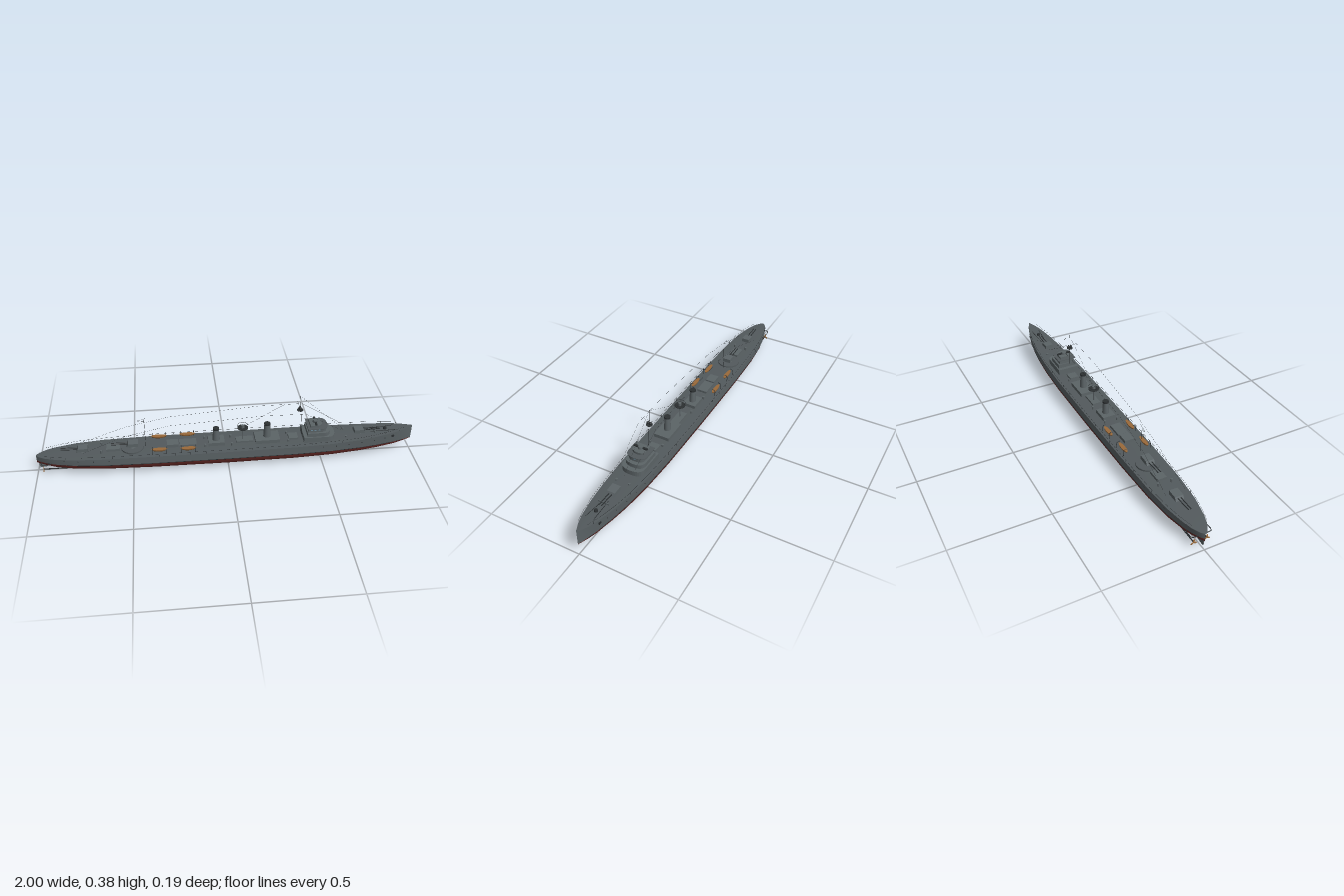
import * as THREE from 'three';

const mat = (color, side = THREE.FrontSide) => new THREE.MeshStandardMaterial({ color, side });
const grey = mat(0x5c6467), dark = mat(0x2c3032), deckGrey = mat(0x535a5d), red = mat(0x6b2c28);
const tan = mat(0x9a6a3a), glass = mat(0x6f8fa0);

// hull stations: x, half width at deck, half width at waterline, deck height, keel height
const stations = [
  [-1, 0.003, 0.002, 0.097, 0.052], [-0.985, 0.018, 0.014, 0.098, 0.046], [-0.95, 0.038, 0.032, 0.1, 0.038],
  [-0.9, 0.054, 0.05, 0.102, 0.029], [-0.8, 0.074, 0.071, 0.105, 0.018], [-0.65, 0.086, 0.085, 0.108, 0.01],
  [-0.4, 0.091, 0.091, 0.11, 0.004], [0, 0.092, 0.092, 0.111, 0], [0.35, 0.091, 0.09, 0.113, 0.003],
  [0.55, 0.085, 0.082, 0.116, 0.009], [0.7, 0.074, 0.068, 0.121, 0.018], [0.8, 0.061, 0.053, 0.128, 0.027],
  [0.9, 0.041, 0.033, 0.136, 0.04], [0.95, 0.025, 0.018, 0.14, 0.05], [1, 0.001, 0.001, 0.146, 0.064]];
const WATER = 0.067;

// values of the hull at any x, linear between stations
function hullAt(x) {
  let i = 0;
  while (i < stations.length - 2 && stations[i + 1][0] < x) i++;
  const a = stations[i], b = stations[i + 1], t = (x - a[0]) / (b[0] - a[0]);
  return a.map((v, k) => v + (b[k] - v) * t);
}

// skin over open cross-sections, each a list of [x, y, z]
function loft(sections) {
  const n = sections[0].length, index = [];
  for (let i = 0; i < sections.length - 1; i++)
    for (let j = 0; j < n - 1; j++) {
      const a = i * n + j, b = a + n;
      index.push(a, a + 1, b + 1, a, b + 1, b);
    }
  const g = new THREE.BufferGeometry();
  g.setAttribute('position', new THREE.Float32BufferAttribute(sections.flat(2), 3));
  g.setIndex(index);
  g.computeVertexNormals();
  return g;
}

export function createModel() {
  const ship = new THREE.Group();
  ship.name = 'warship';
  function add(name, geo, material, x = 0, y = 0, z = 0, parent = ship) {
    const m = new THREE.Mesh(geo, material);
    m.name = name;
    m.position.set(x, y, z);
    parent.add(m);
    return m;
  }
  const box = (name, w, h, d, x, y, z = 0, material = grey, parent = ship) =>
    add(name, new THREE.BoxGeometry(w, h, d), material, x, y + h / 2, z, parent);
  const cyl = (name, r1, r2, h, x, y, z = 0, material = grey, parent = ship) =>
    add(name, new THREE.CylinderGeometry(r1, r2, h, 20), material, x, y + h / 2, z, parent);
  function rod(name, pts, r, material = dark, parent = ship) {
    const path = new THREE.CurvePath(), v = pts.map(p => new THREE.Vector3(...p));
    for (let i = 0; i < v.length - 1; i++) path.add(new THREE.LineCurve3(v[i], v[i + 1]));
    return add(name, new THREE.TubeGeometry(path, (v.length - 1) * 2, r, 5), material, 0, 0, 0, parent);
  }
  // outline with a rounded front, extruded upwards
  function roundedHouse(name, x0, x1, half, y, h, material = grey) {
    const s = new THREE.Shape(), r = half * 0.7;
    s.moveTo(x0, -half);
    s.lineTo(x1 - r, -half);
    s.quadraticCurveTo(x1, -half, x1, 0);
    s.quadraticCurveTo(x1, half, x1 - r, half);
    s.lineTo(x0, half);
    const g = new THREE.ExtrudeGeometry(s, { depth: h, bevelEnabled: false, curveSegments: 8 });
    g.rotateX(-Math.PI / 2);
    return add(name, g, material, 0, y, 0);
  }

  // hull: red bottom, grey sides and slightly cambered deck
  const rib = [[1, 1], [0.95, 0.7], [0.8, 0.42], [0.4, 0.1], [0, 0]];
  const full = rib.concat(rib.slice(0, -1).reverse().map(([w, d]) => [-w, d]));
  add('hullBottom', loft(stations.map(([x, , w, , k]) =>
    full.map(([u, d]) => [x, k + (WATER - k) * d, u * w]))), red);
  for (const s of [1, -1]) {
    add('hullSide', loft(stations.map(([x, w, wl, y]) => {
      const p = [[x, y, s * w], [x, WATER, s * wl]];
      return s > 0 ? p : p.reverse();
    })), grey);
  }
  add('deck', loft(stations.map(([x, w, , y]) =>
    [[x, y, -w], [x, y + w * 0.04, 0], [x, y, w]])), deckGrey);

  // waterline strake, guard rails, portholes and anchors
  for (const s of [1, -1]) {
    const run = (f) => stations.slice(2, -1).map(f);
    rod('waterlineStrake', run(([x, , w]) => [x, WATER, s * w]), 0.0018);
    rod('rail', run(([x, w, , y]) => [x, y + 0.014, s * w * 0.98]), 0.0005);
    for (let x = -0.92; x < 0.92; x += 0.08) {
      const [, w, , y] = hullAt(x);
      rod('railPost', [[x, y, s * w * 0.98], [x, y + 0.014, s * w * 0.98]], 0.0005);
    }
    for (const x of [-0.85, -0.78, -0.7, -0.62, 0.5, 0.57, 0.64, 0.71, 0.78, 0.84]) {
      const [, w, wl, y] = hullAt(x);
      add('porthole', new THREE.SphereGeometry(0.003, 8, 6), dark, x, (WATER + y) / 2 + 0.008, s * (w * 0.65 + wl * 0.35));
    }
    box('anchor', 0.014, 0.012, 0.006, 0.885, 0.108, s * 0.042, dark);
    rod('anchorChain', [[0.77, 0.128, s * 0.012], [0.9, 0.139, s * 0.022]], 0.0015);
    // propeller, shaft and stern guard
    rod('propellerShaft', [[-0.8, 0.026, s * 0.03], [-0.965, 0.03, s * 0.034]], 0.003);
    for (let k = 0; k < 3; k++) {
      const blade = add('propellerBlade', new THREE.SphereGeometry(0.009, 8, 6), tan, -0.965,
        0.03 + 0.009 * Math.cos(k * 2.094), s * 0.034 + 0.009 * Math.sin(k * 2.094));
      blade.scale.set(0.25, 1, 0.6);
      blade.rotation.x = k * 2.094;
    }
    rod('sternGuard', [[-0.92, 0.07, s * 0.045], [-0.93, 0.07, s * 0.053], [-0.97, 0.07, s * 0.053], [-0.975, 0.07, s * 0.02]], 0.002);
  }
  box('rudder', 0.04, 0.038, 0.005, -0.97, 0.021).rotation.z = 0.12;

  // deck gun with sloped shield and two barrels
  function gun(name, x, y, dir) {
    const g = new THREE.Group();
    g.name = name;
    g.position.set(x, y, 0);
    g.rotation.y = dir > 0 ? 0 : Math.PI;
    ship.add(g);
    cyl('gunPedestal', 0.014, 0.02, 0.012, 0, 0, 0, grey, g);
    const shield = new THREE.Shape([[-0.03, 0], [0.03, 0], [0.02, 0.019], [-0.03, 0.021]].map(p => new THREE.Vector2(...p)));
    const geo = new THREE.ExtrudeGeometry(shield, { depth: 0.044, bevelEnabled: false });
    add('gunShield', geo, grey, 0, 0.008, -0.022, g);
    for (const z of [-0.008, 0.008]) rod('gunBarrel', [[0.02, 0.018, z], [0.11, 0.021, z * 0.8]], 0.0025, dark, g);
  }
  gun('foreGun', 0.71, 0.12, 1);
  gun('aftGun', -0.76, 0.106, -1);
  cyl('aftPlatform', 0.06, 0.06, 0.01, -0.5, 0.109, 0, deckGrey);
  gun('midshipGun', -0.5, 0.119, -1);

  // deckhouses
  for (const [x, w, h, d] of [[-0.6, 0.07, 0.014, 0.05], [-0.29, 0.06, 0.02, 0.05], [-0.21, 0.09, 0.016, 0.055],
    [-0.06, 0.085, 0.022, 0.07], [0.09, 0.09, 0.014, 0.045], [0.21, 0.13, 0.024, 0.085], [0.35, 0.05, 0.016, 0.05]])
    box('deckhouse', w, h, d, x, 0.11);
  for (const s of [1, -1]) for (const x of [-0.66, -0.12, 0.02, 0.32, 0.63])
    cyl('ventilator', 0.006, 0.005, 0.018, x, 0.11, s * 0.035);
  box('breakwater', 0.004, 0.012, 0.06, 0.79, 0.125);
  cyl('capstan', 0.008, 0.01, 0.012, 0.85, 0.132, 0, dark);

  // funnels with dark caps
  for (const [x, top] of [[-0.06, 0.203], [0.21, 0.215]]) {
    cyl('funnel', 0.014, 0.018, top - 0.13, x, 0.128).scale.x = 1.1;
    cyl('funnelCap', 0.0165, 0.0165, 0.009, x, top - 0.008, 0, dark);
  }

  // searchlight tower between the funnels
  cyl('searchlightPost', 0.003, 0.004, 0.08, 0.08, 0.115);
  cyl('searchlightPlatform', 0.028, 0.028, 0.003, 0.08, 0.194, 0, dark);
  cyl('searchlight', 0.009, 0.009, 0.014, 0.08, 0.197);
  add('platformRail', new THREE.TorusGeometry(0.028, 0.001, 5, 20).rotateX(Math.PI / 2), dark, 0.08, 0.21, 0);

  // bridge in tiers
  roundedHouse('bridgeBase', 0.4, 0.57, 0.06, 0.112, 0.034);
  roundedHouse('bridgeDeck', 0.42, 0.545, 0.053, 0.146, 0.022);
  roundedHouse('wheelhouse', 0.425, 0.525, 0.043, 0.168, 0.022);
  roundedHouse('bridgeWings', 0.42, 0.53, 0.052, 0.19, 0.003, deckGrey);
  roundedHouse('upperBridge', 0.435, 0.5, 0.035, 0.193, 0.012);
  box('rangefinder', 0.01, 0.007, 0.076, 0.465, 0.207, 0, dark);
  cyl('directorCap', 0.012, 0.014, 0.012, 0.465, 0.206);
  for (let k = -2; k <= 2; k++)
    box('bridgeWindow', 0.006, 0.008, 0.011, 0.522 - Math.abs(k) ** 2 * 0.0035, 0.178, k * 0.0145, glass);
  for (const s of [1, -1]) for (const x of [0.44, 0.46, 0.48])
    box('sideWindow', 0.011, 0.008, 0.002, x, 0.178, s * 0.043, glass);

  // ship's boats on curved davits
  for (const s of [1, -1]) for (const [x, z] of [[-0.36, 0.058], [-0.21, 0.062]]) {
    const boat = add('boat', new THREE.SphereGeometry(1, 16, 6, 0, Math.PI * 2, Math.PI / 2, Math.PI / 2), tan, x, 0.134, s * z);
    boat.scale.set(0.042, 0.016, 0.011);
    const cover = add('boatCover', new THREE.CircleGeometry(1, 16).rotateX(-Math.PI / 2), tan, x, 0.134, s * z);
    cover.scale.set(0.042, 1, 0.011);
    for (const dx of [-0.035, 0.035])
      rod('davit', [[x + dx, 0.11, s * 0.074], [x + dx, 0.138, s * 0.076], [x + dx, 0.147, s * 0.07], [x + dx, 0.147, s * 0.058]], 0.0015);
  }

  // masts, crow's nest and aerials
  const wire = 0.0004;
  rod('foremast', [[0.4, 0.12, 0], [0.375, 0.375, 0]], 0.0009);
  rod('mainmast', [[-0.43, 0.11, 0], [-0.43, 0.28, 0]], 0.0009);
  rod('gaff', [[-0.43, 0.27, 0], [-0.47, 0.275, 0], [-0.42, 0.29, 0]], 0.0006);
  cyl('crowsNest', 0.016, 0.016, 0.003, 0.38, 0.286, 0, dark);
  rod('foreYard', [[0.375, 0.308, -0.05], [0.375, 0.308, 0.05]], wire);
  rod('forestay', [[0.1, 0.21, 0], [0.375, 0.375, 0], [0.62, 0.15, 0]], wire);
  for (const s of [1, -1]) {
    add('mastLight', new THREE.SphereGeometry(0.0075, 12, 8), dark, 0.38, 0.297, s * 0.007);
    rod('aerial', [[0.6, 0.17, s * 0.04], [0.375, 0.308, s * 0.05], [-0.42, 0.255, s * 0.038], [-0.75, 0.13, s * 0.05]], wire);
  }
  return ship;
}
